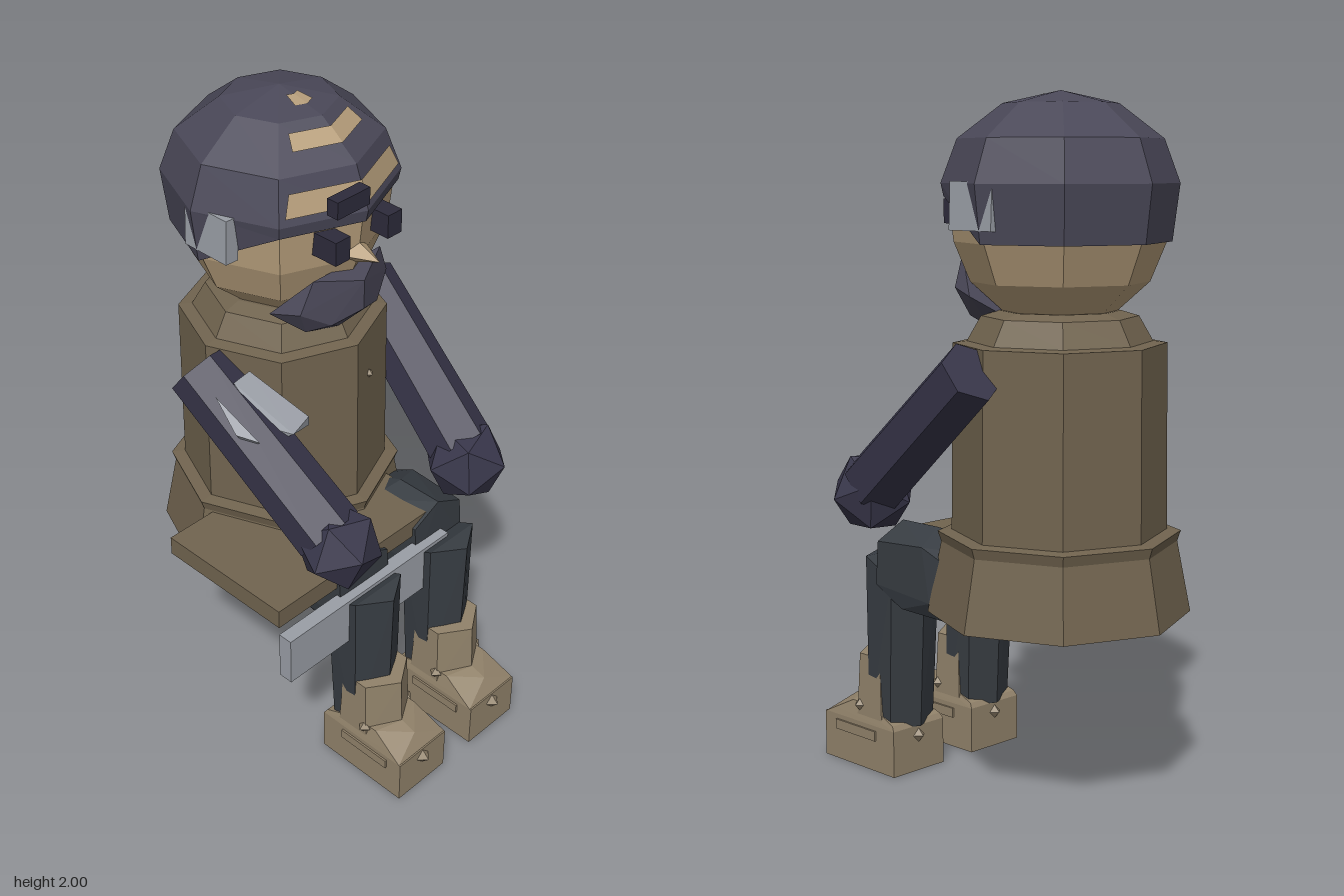
import * as THREE from 'three';
import { ConvexGeometry } from 'three/addons/geometries/ConvexGeometry.js';

const CX = 0.03; // figure's own mid-plane
const BACK = -0.195; // z of the head and body axis

const mat = (color) => new THREE.MeshStandardMaterial({ color, flatShading: true, side: THREE.DoubleSide });
const skin = mat(0xb59d7a), hairMat = mat(0x4a4858), coat = mat(0x71644f), boot = mat(0x91826a);
const trousers = mat(0x373c42), sleeve = mat(0x38364a), dark = mat(0x2d2b3b), grey = mat(0x9a9ea6);

function add(parent, name, geometry, material, x = 0, y = 0, z = 0) {
  const mesh = new THREE.Mesh(geometry, material);
  mesh.name = name;
  mesh.position.set(x, y, z);
  parent.add(mesh);
  return mesh;
}
const box = (parent, name, m, x0, x1, y0, y1, z0, z1) =>
  add(parent, name, new THREE.BoxGeometry(x1 - x0, y1 - y0, z1 - z0), m, (x0 + x1) / 2, (y0 + y1) / 2, (z0 + z1) / 2);
const hull = (pts) => new ConvexGeometry(pts.map((p) => new THREE.Vector3(...p)));
// Corners given for +x only are mirrored to -x
const mirrorHull = (pts) => hull(pts.flatMap(([x, y, z]) => (x ? [[x, y, z], [-x, y, z]] : [[x, y, z]])));
const lathe = (pts) => new THREE.LatheGeometry(pts.map((p) => new THREE.Vector2(...p)), 8);
const stud = (parent, x, y, z, r) => add(parent, 'stud', new THREE.OctahedronGeometry(r), boot, x, y, z);

const HAIR = [[0.31, 1.59], [0.33, 1.75], [0.285, 1.87], [0.16, 1.965], [0, 2]];

function hairRadius(y) {
  const i = Math.max(1, HAIR.findIndex((p) => p[1] >= y));
  const [r0, y0] = HAIR[i - 1], [r1, y1] = HAIR[i];
  return r0 + ((r1 - r0) * (y - y0)) / (y1 - y0);
}

// Bare strip folded over the front ridge of the hair
function bareStrip(wLow, yLow, wHigh, yHigh) {
  const row = (w, y) => [-w, 0, w].flatMap((x) => [x, y + 0.002, hairRadius(y) - Math.abs(x) * 0.414 + 0.005]);
  const g = new THREE.BufferGeometry();
  g.setAttribute('position', new THREE.Float32BufferAttribute([...row(wLow, yLow), ...row(wHigh, yHigh)], 3));
  g.setIndex([0, 1, 4, 0, 4, 3, 1, 2, 5, 1, 5, 4]);
  g.computeVertexNormals();
  return g;
}

function makeHead() {
  const head = new THREE.Group();
  head.name = 'head';
  add(head, 'face', lathe([[0, 1.385], [0.15, 1.39], [0.25, 1.48], [0.295, 1.59], [0.31, 1.72], [0.26, 1.85], [0, 1.94]]), skin, CX, 0, BACK);

  // Hair cap, raised to a hairline over the brow
  const cap = lathe(HAIR);
  const p = cap.attributes.position;
  for (let i = 0; i < p.count; i++) {
    if (p.getY(i) < 1.6 && p.getZ(i) > 0.05) {
      p.setXYZ(i, p.getX(i) * 1.04, 1.715, p.getZ(i) * 1.04);
    }
  }
  add(head, 'hair', cap, hairMat, CX, 0, BACK);
  for (const s of [[0.215, 1.77, 0.19, 1.83], [0.13, 1.912, 0.11, 1.945], [0.032, 1.978, 0.02, 1.989]]) {
    add(head, 'bareStrip', bareStrip(...s), skin, CX, 0, BACK);
  }

  // Features
  const nose = add(head, 'nose', new THREE.ConeGeometry(0.045, 0.09, 4), skin, CX, 1.61, 0.135);
  nose.rotation.x = Math.PI / 2;
  nose.scale.z = 0.8;
  for (const s of [-1, 1]) {
    const x = CX + s * 0.1;
    box(head, 'eye', dark, x - 0.027, x + 0.027, 1.635, 1.705, 0.05, 0.14);
    const ear = box(head, 'ear', grey, CX + s * 0.29 - 0.022, CX + s * 0.29 + 0.022, 1.625, 1.755, -0.24, -0.08);
    ear.rotation.z = s * 0.04;
  }
  box(head, 'eyebrow', dark, -0.12, 0, 1.795, 1.845, 0.13, 0.168);
  add(head, 'beard', mirrorHull([
    [0.2, 1.44, -0.04], [0.13, 1.555, 0.06], [0, 1.53, 0.125], [0.13, 1.38, 0.03], [0.17, 1.46, 0.05],
    [0.08, 1.345, 0.0], [0, 1.44, 0.125], [0.09, 1.41, 0.09], [0, 1.34, 0.03], [0.12, 1.39, -0.08],
  ]), hairMat, CX);
  return head;
}

function makeArm(s) {
  const arm = new THREE.Group();
  arm.name = s > 0 ? 'leftArm' : 'rightArm';
  const a = new THREE.Vector3(CX + s * 0.335, 1.255, -0.19);
  const b = new THREE.Vector3(CX + s * 0.28, 0.89, 0.27);
  const dir = b.clone().sub(a);
  const tube = add(arm, 'sleeve', new THREE.CylinderGeometry(0.092, 0.1, dir.length(), 6), sleeve);
  tube.position.copy(a).add(b).multiplyScalar(0.5);
  tube.quaternion.setFromUnitVectors(new THREE.Vector3(0, -1, 0), dir.normalize());
  const hand = add(arm, 'hand', new THREE.IcosahedronGeometry(0.128, 0), sleeve, CX + s * 0.27, 0.86, 0.295);
  hand.rotation.set(0.4, s * 0.3, 0);
  return arm;
}

function makeLeg(s) {
  const leg = new THREE.Group();
  leg.name = s > 0 ? 'leftLeg' : 'rightLeg';
  leg.position.x = CX + s * 0.16;
  add(leg, 'thigh', mirrorHull([
    [0.1, 0.71, 0.29], [0, 0.76, 0.29], [0.1, 0.58, 0.3], [0.09, 0.52, 0.2], [0.1, 0.72, 0.1],
    [0, 0.76, 0.14], [0.1, 0.56, 0.07], [0.04, 0.49, -0.17], [0.06, 0.6, -0.15], [0, 0.7, 0],
  ]), trousers);
  add(leg, 'shin', mirrorHull([
    [0, 0.65, 0.41], [0.095, 0.655, 0.35], [0.095, 0.6, 0.24], [0, 0.57, 0.2],
    [0, 0.14, 0.4], [0.09, 0.14, 0.35], [0.085, 0.14, 0.26], [0, 0.14, 0.22],
  ]), trousers);

  // Boot: sole block, toe cap, shaft, strap and studs
  box(leg, 'foot', boot, -0.1, 0.1, 0, 0.14, 0.23, 0.545);
  add(leg, 'toeCap', mirrorHull([
    [0.1, 0.14, 0.54], [0.1, 0.14, 0.23], [0.095, 0.16, 0.5], [0.095, 0.155, 0.24],
    [0, 0.185, 0.51], [0.085, 0.195, 0.43], [0, 0.2, 0.46], [0.085, 0.19, 0.34],
  ]), boot);
  add(leg, 'bootShaft', mirrorHull([
    [0, 0.35, 0.45], [0.09, 0.35, 0.39], [0.09, 0.35, 0.3], [0, 0.15, 0.46], [0.095, 0.15, 0.4], [0.095, 0.15, 0.29],
  ]), boot);
  for (const e of [-1, 1]) {
    box(leg, 'sideStrap', boot, e * 0.102 - 0.004, e * 0.102 + 0.004, 0.095, 0.125, 0.31, 0.49);
    stud(leg, e * 0.09, 0.19, 0.39, 0.022);
  }
  stud(leg, 0, 0.11, 0.542, 0.028);
  stud(leg, 0, 0.11, 0.233, 0.024);
  return leg;
}

export function createModel() {
  const model = new THREE.Group();
  model.name = 'seatedFigure';

  // Coat with flared skirt, waist trim and collar
  add(model, 'coat', lathe([
    [0, 0.54], [0.375, 0.54], [0.335, 0.745], [0.345, 0.775], [0.305, 0.78],
    [0.3, 1.31], [0.26, 1.315], [0.22, 1.385], [0.17, 1.4], [0, 1.4],
  ]), coat, CX, 0, BACK);
  stud(model, 0.11, 1.16, 0.075, 0.014);

  model.add(makeHead());
  for (const s of [-1, 1]) model.add(makeArm(s), makeLeg(s));

  // Plates on the right upper arm
  add(model, 'armPlate', hull([
    [-0.3, 1.27, -0.05], [-0.24, 1.28, -0.05], [-0.15, 1.15, 0.09], [-0.14, 1.11, 0.08],
    [-0.22, 1.13, 0.1], [-0.28, 1.16, 0.04], [-0.28, 1.08, 0.02],
  ]), grey);
  add(model, 'armPlate', hull([
    [-0.36, 1.25, -0.06], [-0.33, 1.15, 0.08], [-0.37, 1.17, 0.03], [-0.3, 1.08, 0.02],
  ]), grey);

  // Seat board and its front rail
  box(model, 'board', coat, -0.46, 0.2, 0.68, 0.74, -0.17, 0.28);
  box(model, 'rail', grey, -0.46, 0.2, 0.5, 0.655, 0.28, 0.325);
  return model;
}
